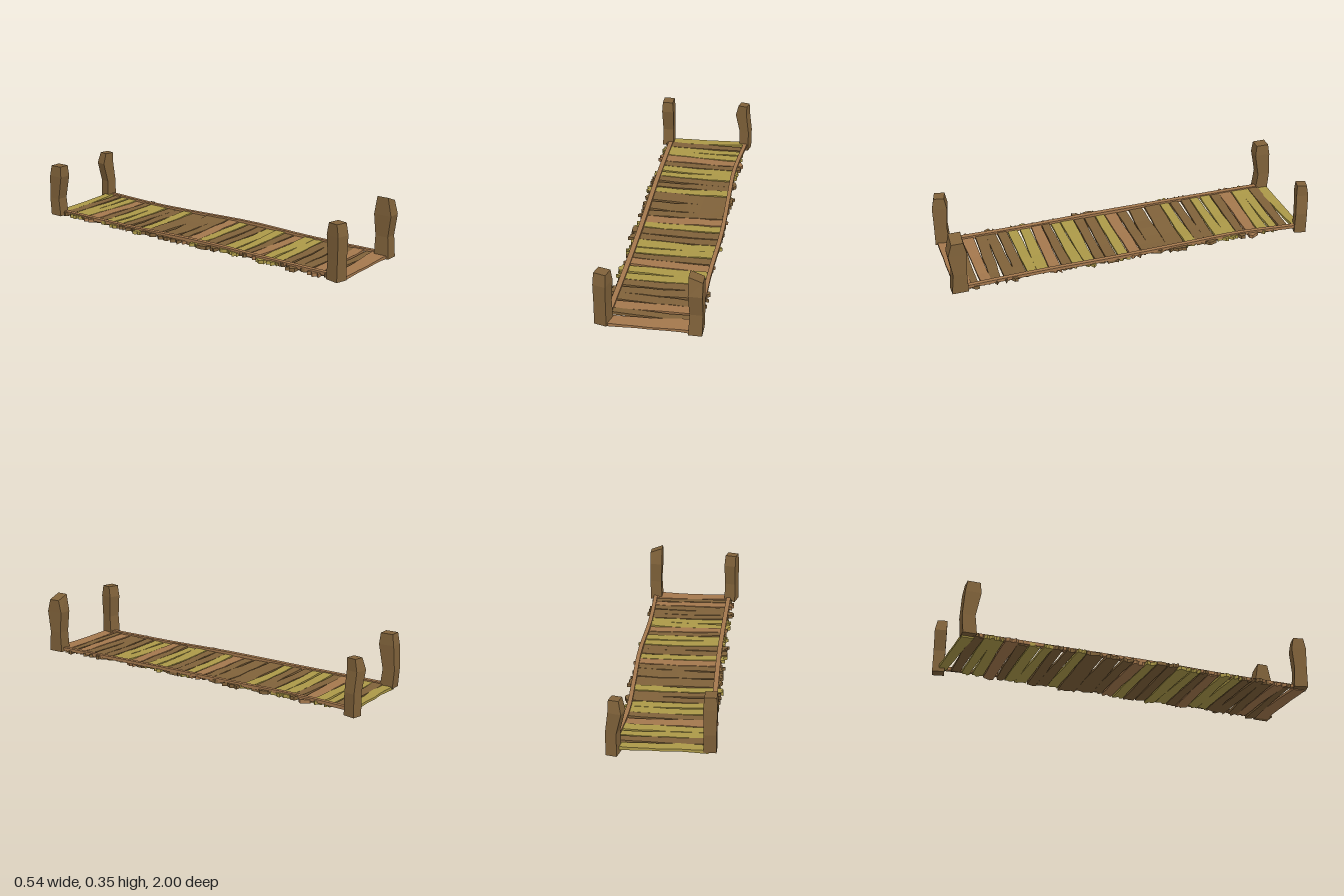
import * as THREE from 'three';

const material = (color) => new THREE.MeshStandardMaterial({ color, flatShading: true });
const brown = material(0x80623a), yellow = material(0xac9948), tan = material(0xa4784d);

// repeatable noise in -1..1
const noise = (a, b = 0, c = 0) => {
  const s = Math.sin(a * 12.9898 + b * 78.233 + c * 37.719) * 43758.5453;
  return 2 * (s - Math.floor(s)) - 1;
};

// moves every vertex of a geometry by a rule
function deform(geometry, rule) {
  const p = geometry.attributes.position, v = new THREE.Vector3();
  for (let i = 0; i < p.count; i++) {
    rule(v.fromBufferAttribute(p, i));
    p.setXYZ(i, v.x, v.y, v.z);
  }
  geometry.computeVertexNormals();
  return geometry;
}

// one board; z0..z1 is its span, tilt skews it, and its ends are splintered
function plank(index, z0, z1, mat, left, right, tilt) {
  const w = z1 - z0, end = index === 0 || index === 29;
  const geometry = deform(new THREE.BoxGeometry(2, 1, 2, 6, 1, 4), (v) => {
    const t = v.x, side = v.z, k = Math.round(v.x * 3);
    const splinter = end || Math.abs(t) < 0.99 ? 0 : 0.016 * noise(index, k, Math.round(side * 2));
    const taper = 1 + 0.18 * t * noise(index, 5) + 0.07 * noise(index, k, Math.sign(side));
    const thick = 0.012 + 0.007 * t * t;
    v.x = left + (right - left) * (t + 1) / 2 + splinter;
    v.y = 0.026 + 0.004 * noise(index, 9) * t + 0.002 * noise(index, k, 7) + v.y * thick;
    v.z = (z0 + z1) / 2 + side * w / 2 * taper + tilt * t;
  });
  const mesh = new THREE.Mesh(geometry, mat);
  mesh.name = 'plank';
  return mesh;
}

// a carved post: rows of [y, shift x, shift z, half width, half depth]
function post(name, x, z, yaw, rows, slant = 0) {
  const last = rows.length - 1;
  const geometry = deform(new THREE.BoxGeometry(1, 1, 1, 1, last, 1), (v) => {
    const k = Math.round((v.y + 0.5) * last);
    const [y, dx, dz, hw, hd] = rows[k];
    const sx = Math.sign(v.x);
    v.set(dx + sx * hw, y - (k === last ? sx * slant : 0), dz + Math.sign(v.z) * hd);
  });
  const mesh = new THREE.Mesh(geometry, brown);
  mesh.name = name;
  mesh.position.set(x, 0, z);
  mesh.rotation.y = yaw;
  return mesh;
}

// a square rail through points [x, y, z]
function rail(name, points, half) {
  const curve = new THREE.CatmullRomCurve3(points.map((p) => new THREE.Vector3(...p)));
  const geometry = deform(new THREE.BoxGeometry(2, 2, 1, 1, 1, 16), (v) => {
    const c = curve.getPoint(Math.min(1, Math.max(0, v.z + 0.5)));
    v.set(c.x + v.x * half, c.y + v.y * 0.009, c.z);
  });
  const mesh = new THREE.Mesh(geometry, tan);
  mesh.name = name;
  return mesh;
}

export function createModel() {
  const bridge = new THREE.Group();
  bridge.name = 'plankBridge';

  // deck boards from back to front: edges in hundredths, one colour letter each
  const deck = new THREE.Group();
  deck.name = 'deck';
  const edges = [-96, -90, -84, -78.5, -72.5, -65.5, -60, -53.5, -47.5, -41.5, -35.5, -29.5, -19.5, -10,
    -4, 3, 9, 15.5, 21.5, 28.5, 34.5, 40, 46.5, 53, 59, 65, 71.5, 78, 84.5, 89.5, 98];
  const colours = 'ybyytbyybbybbbtybbyybtyybbbtbt';
  const mats = { b: brown, y: yellow, t: tan };
  [...colours].forEach((c, i) => {
    const end = i === 0 || i === 29;
    const tilt = i === 0 ? -0.012 : i === 29 ? -0.006 : 0.007 * noise(i, 3);
    deck.add(plank(i, edges[i] / 100 + 0.003, edges[i + 1] / 100 - 0.003, mats[c],
      end ? -0.22 : -0.235 + 0.013 * noise(i, 1), end ? 0.23 : 0.235 + 0.012 * noise(i, 2), tilt));
  });
  bridge.add(deck);

  // side rails
  bridge.add(
    rail('rightRail', [[-0.212, 0.034, -0.92], [-0.215, 0.034, -0.45], [-0.206, 0.041, 0.1],
      [-0.207, 0.035, 0.5], [-0.213, 0.034, 0.95]], 0.013),
    rail('leftRail', [[0.24, 0.034, -0.94], [0.214, 0.035, -0.6], [0.222, 0.036, -0.3], [0.236, 0.041, 0.1],
      [0.226, 0.035, 0.5], [0.236, 0.034, 0.95]], 0.011));

  // corner posts
  bridge.add(
    post('frontRightPost', -0.228, 0.945, -0.25, [
      [0.02, 0, 0, 0.033, 0.038], [0.13, 0, 0.004, 0.032, 0.034],
      [0.25, 0.001, 0, 0.034, 0.04], [0.312, 0, 0, 0.032, 0.028]]),
    post('frontLeftPost', 0.23, 0.95, 0, [
      [0.02, 0, 0, 0.034, 0.043], [0.135, 0.004, -0.004, 0.033, 0.036],
      [0.25, 0, 0, 0.035, 0.049], [0.333, 0, -0.002, 0.035, 0.031]], 0.013),
    post('backRightPost', -0.228, -0.918, 0, [
      [0.02, 0, 0, 0.032, 0.036], [0.12, 0, -0.01, 0.031, 0.034],
      [0.25, 0, 0.006, 0.034, 0.042], [0.31, 0, 0.008, 0.03, 0.034]]),
    post('backLeftPost', 0.234, -0.96, -0.22, [
      [0, 0.002, 0, 0.028, 0.032], [0.12, 0.003, 0, 0.028, 0.031],
      [0.23, -0.018, 0, 0.034, 0.032], [0.293, -0.01, 0.006, 0.026, 0.026]]));
  return bridge;
}
